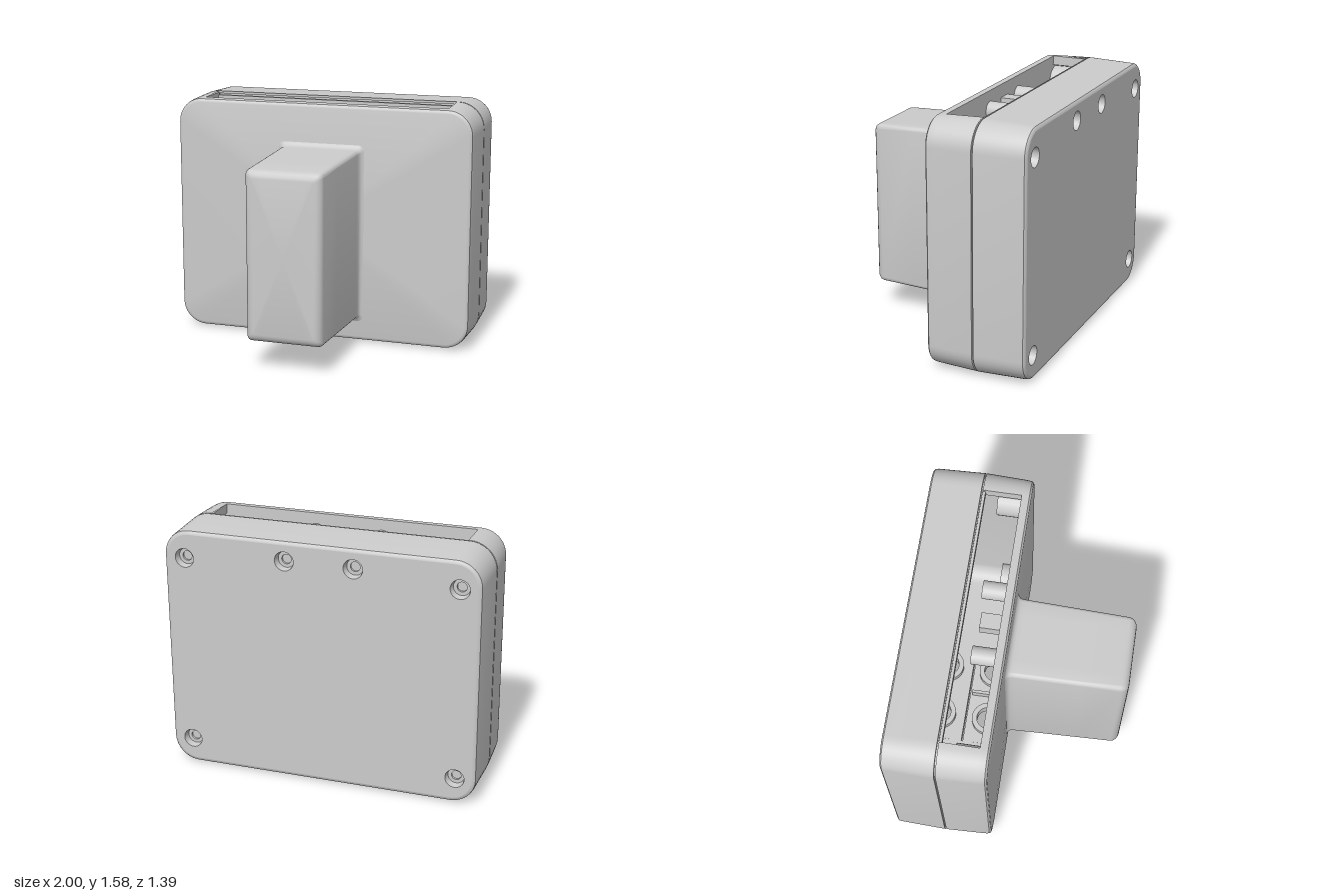
import * as THREE from 'three';
import { toCreasedNormals } from 'three/addons/utils/BufferGeometryUtils.js';

const mat = new THREE.MeshStandardMaterial({ color: 0xcccccc, side: THREE.DoubleSide });
const N = 10; // segments per rounded corner
const BOTTOM = 0, TOP = 2 * N + 4; // indices of the flat middle strips

// Rounded rectangle outline, with extra points at +-bx (bottom) and +-tx (top)
function outline({ w, y0, y1, r }, bx, tx) {
  const pts = [[-bx, y0], [bx, y0]];
  const arc = (cx, cy, a0) => {
    for (let i = 0; i <= N; i++) {
      const a = a0 + (i / N) * Math.PI / 2;
      pts.push([cx + r * Math.cos(a), cy + r * Math.sin(a)]);
    }
  };
  arc(w - r, y0 + r, -Math.PI / 2);
  arc(w - r, y1 - r, 0);
  pts.push([tx, y1], [-tx, y1]);
  arc(-w + r, y1 - r, Math.PI / 2);
  arc(-w + r, y0 + r, Math.PI);
  return pts;
}

// Skin through outlines ordered front to back; skip(ring, strip) leaves openings
function loft(rings, { bx, tx, skip = () => false, capFront = false, capBack = false }) {
  const loops = rings.map(q => outline(q, bx, tx).map(([x, y]) => [x, y, q.z]));
  const pos = [];
  const n = loops[0].length;
  const cap = (loop, q, flip) => {
    const c = [0, (q.y0 + q.y1) / 2, q.z];
    for (let j = 0; j < n; j++) {
      const a = loop[j], b = loop[(j + 1) % n];
      pos.push(...c, ...(flip ? b : a), ...(flip ? a : b));
    }
  };
  for (let i = 0; i + 1 < loops.length; i++) {
    for (let j = 0; j < n; j++) {
      if (skip(i, j)) continue;
      const k = (j + 1) % n;
      const a = loops[i][j], b = loops[i + 1][j], c = loops[i + 1][k], d = loops[i][k];
      pos.push(...a, ...b, ...c, ...a, ...c, ...d);
    }
  }
  if (capFront) cap(loops[0], rings[0], false);
  if (capBack) cap(loops.at(-1), rings.at(-1), true);
  const g = new THREE.BufferGeometry();
  g.setAttribute('position', new THREE.Float32BufferAttribute(pos, 3));
  return toCreasedNormals(g, 0.6);
}

export function createModel() {
  const model = new THREE.Group();
  const add = (name, geo, x = 0, y = 0, z = 0) => {
    const m = new THREE.Mesh(geo, mat);
    m.name = name;
    m.position.set(x, y, z);
    model.add(m);
    return m;
  };
  const block = (name, x0, x1, y0, y1, z0, z1) =>
    add(name, new THREE.BoxGeometry(x1 - x0, y1 - y0, z1 - z0), (x0 + x1) / 2, (y0 + y1) / 2, (z0 + z1) / 2);

  // Case: two drafted half shells with a seam groove, open on top at the front
  const H = 1.575, BX = 0.35, TX = 0.82;
  const caseRing = ([z, s]) => ({ z, w: 1 - s, y0: s, y1: H - s, r: 0.17 - s });
  const outer = [
    [-0.06, 0.035], [-0.063, 0.022], [-0.072, 0.013], [-0.09, 0.01], [-0.12, 0.008],
    [-0.36, 0], [-0.361, 0.015], [-0.369, 0.015], [-0.37, 0],
    [-0.665, 0.01], [-0.683, 0.013], [-0.692, 0.022], [-0.695, 0.035],
  ].map(caseRing);
  add('caseShell', loft(outer, {
    bx: BX, tx: TX, capFront: true,
    skip: (i, j) => (j === TOP && i === 4) || (j === BOTTOM && (i === 4 || i === 8)),
  }));
  const inner = [[-0.12, 0.065], [-0.36, 0.06], [-0.635, 0.065]].map(caseRing);
  add('caseInside', loft(inner, {
    bx: BX, tx: TX, capFront: true, capBack: true,
    skip: (i, j) => (j === TOP && i === 0) || j === BOTTOM,
  }));

  // Rim of the top opening
  for (const s of [-1, 1]) block('openingJamb', s * 0.83 - 0.01, s * 0.83 + 0.01, 1.505, 1.566, -0.36, -0.12);
  block('openingFrontEdge', -TX, TX, 1.505, 1.565, -0.12, -0.1);
  block('openingBackLip', -TX, TX, 1.5, 1.55, -0.375, -0.345);

  // Back plate with screw holes
  const screws = [[0.86, 0.17], [0.86, 1.39], [0.215, 1.44]].flatMap(([x, y]) => [[x, y], [-x, y]]);
  const toVec = ([x, y]) => new THREE.Vector2(x, y);
  const circle = (x, y, r) => new THREE.Path().absarc(x, y, r, 0, Math.PI * 2, true);
  const plate = new THREE.Shape(outline(outer.at(-1), BX, TX).map(toVec));
  for (const [x, y] of screws) plate.holes.push(circle(x, y, 0.06));
  add('backPlate', new THREE.ShapeGeometry(plate, 16).rotateY(Math.PI), 0, 0, -0.695);
  const cup = new THREE.LatheGeometry(
    [[0.06, 0], [0.052, 0.045], [0.03, 0.045], [0.03, 0.12], [0, 0.12]].map(toVec), 32);
  const cupGeo = toCreasedNormals(cup.rotateX(Math.PI / 2), 0.6);
  for (const [x, y] of screws) add('screwHole', cupGeo, x, y, -0.695);

  // Bottom panels, each with a pair of round cable holes
  const liner = toCreasedNormals(new THREE.LatheGeometry(
    [[0.1, 0], [0.076, 0.025], [0.076, 0.1], [0.11, 0.1], [0.11, 0.05]].map(toVec), 40), 0.6);
  for (const [z0, z1, zc] of [[-0.12, -0.36, -0.21], [-0.37, -0.665, -0.545]]) {
    const s = new THREE.Shape([[-BX, -z0], [BX, -z0], [BX, -z1], [-BX, -z1]].map(toVec));
    for (const x of [-0.175, 0.175]) s.holes.push(circle(x, -zc, 0.1));
    const g = new THREE.ExtrudeGeometry(s, { depth: 0.06, bevelEnabled: false, curveSegments: 20 });
    g.rotateX(-Math.PI / 2);
    // follow the draft of the shell
    const p = g.attributes.position;
    const draft = z => 0.033 * Math.abs(z + 0.365);
    for (let i = 0; i < p.count; i++) p.setY(i, p.getY(i) + draft(p.getZ(i)));
    g.computeVertexNormals();
    add('bottomPanel', g);
    for (const x of [-0.175, 0.175]) add('cableHole', liner, x, draft(zc), zc);
  }

  // Screw bosses, floor ribs and catch inside the front shell
  for (const [x, y] of screws) {
    const r = Math.abs(x) > 0.5 ? 0.1 : 0.057;
    add('screwBoss', new THREE.CylinderGeometry(r, r, 0.15, 28).rotateX(Math.PI / 2), x, y, -0.195);
  }
  for (const x of [-0.54, 0, 0.54]) block('floorRib', x - 0.01, x + 0.01, 0.05, 0.12, -0.345, -0.12);
  block('catch', -0.05, 0.05, 1.4, 1.48, -0.25, -0.12);

  // Grip: tapered rounded block with a fillet at the root and a slot underneath
  const gripRing = ([z, s]) => {
    const t = (z + 0.03) / 0.725;
    return {
      z, w: 0.262 - 0.017 * t - s, y0: 0.165 + 0.02 * t + s, y1: 1.285 - 0.02 * t - s,
      r: Math.max(0.03 - s * 0.3, 0.012),
    };
  };
  const grip = [
    [0.695, 0.05], [0.691, 0.031], [0.68, 0.015], [0.664, 0.004], [0.645, 0],
    [0.4, 0], [0, 0], [-0.03, 0], [-0.045, -0.005], [-0.055, -0.014], [-0.062, -0.03],
  ].map(gripRing);
  const SX = 0.15;
  add('grip', loft(grip, { bx: SX, tx: SX, capFront: true, skip: (i, j) => j === BOTTOM && i === 5 }));
  // Slot walls and ceiling
  block('slotFrontWall', -SX, SX, 0.178, 0.48, 0.4, 0.41);
  block('slotBackWall', -SX, SX, 0.168, 0.48, -0.01, 0);
  for (const s of [-1, 1]) block('slotSideWall', s * 0.155 - 0.005, s * 0.155 + 0.005, 0.178, 0.48, 0, 0.4);
  block('slotCeiling', -SX, SX, 0.47, 0.48, 0, 0.4);

  return model;
}
